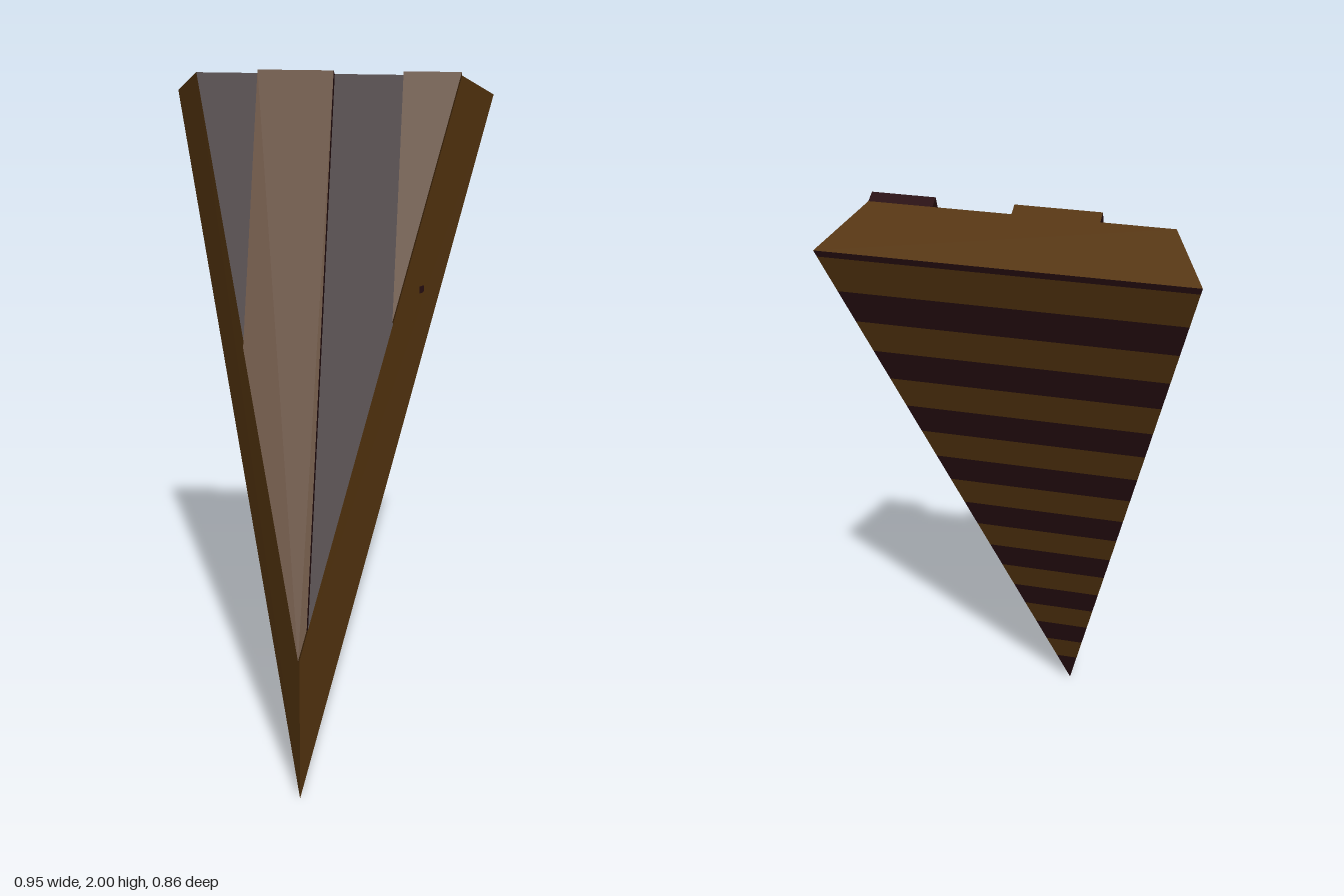
import * as THREE from 'three';

const light = new THREE.MeshStandardMaterial({ color: 0x54340f, flatShading: true });
light.name = 'brown wood';
const dark = new THREE.MeshStandardMaterial({ color: 0x270e11, flatShading: true });
dark.name = 'dark wood';

// One flat-shaded mesh from convex polygons, corners anticlockwise seen from outside
function polyMesh(name, material, polygons) {
  const pos = [];
  for (const p of polygons)
    for (let i = 1; i < p.length - 1; i++) pos.push(...p[0], ...p[i], ...p[i + 1]);
  const geo = new THREE.BufferGeometry();
  geo.setAttribute('position', new THREE.Float32BufferAttribute(pos, 3));
  geo.computeVertexNormals();
  const mesh = new THREE.Mesh(geo, material);
  mesh.name = name;
  return mesh;
}

// Raised plank: anticlockwise outline, with the listed edges in dark wood
function plank(name, outline, darkEdges, depth) {
  const lit = [outline.map(([x, y]) => [x, y, depth])];
  const shaded = [];
  outline.forEach(([x, y], i) => {
    const [u, v] = outline[(i + 1) % outline.length];
    (darkEdges.includes(i) ? shaded : lit).push([[x, y, 0], [u, v, 0], [u, v, depth], [x, y, depth]]);
  });
  const group = new THREE.Group();
  group.name = name;
  group.add(polyMesh(name + 'Face', light, lit), polyMesh(name + 'Walls', dark, shaded));
  return group;
}

export function createModel() {
  const model = new THREE.Group();
  model.name = 'wedge';

  // The slab is built upright, then leaned back
  const slab = new THREE.Group();
  slab.name = 'leaningSlab';
  slab.position.set(0, 0.448, 0.396);
  slab.rotation.x = -0.406;
  model.add(slab);

  const top = 1.677, tip = -0.411, back = -0.178, halfFront = 0.385, halfBack = 0.475;
  const apex = [0, 0, 0], point = [0, tip, back];
  const fl = [halfFront, top, 0], fr = [-halfFront, top, 0];
  const bl = [halfBack, top, back], br = [-halfBack, top, back];

  // Sides and top of the slab, and its recessed front
  slab.add(polyMesh('sidesAndTop', light, [
    [apex, point, bl, fl],
    [point, apex, fr, br],
    [fr, fl, bl, br],
  ]));
  slab.add(polyMesh('recessedFront', dark, [[apex, fl, fr]]));

  // Raised planks on the front
  const edge = x => Math.abs(x) * top / halfFront;
  slab.add(plank('centrePlank',
    [[0, 0], [0.02, edge(0.02)], [0.02, top], [-0.2, top], [-0.2, edge(0.2)]], [1, 3], 0.033));
  slab.add(plank('leftPlank',
    [[0.22, edge(0.22)], [halfFront, top], [0.22, top]], [1, 2], 0.033));

  // Striped back, as bands from the top edge (0) to the tip (1)
  const cuts = [0, 0.01];
  for (let i = 0; i < 9; i++) cuts.push(0.068 + 0.1075 * i, 0.121 + 0.1075 * i);
  cuts[cuts.length - 1] = 1;
  const bands = [[], []];
  for (let i = 0; i < cuts.length - 1; i++) {
    const [a, b] = [cuts[i], cuts[i + 1]];
    const ya = top + (tip - top) * a, yb = top + (tip - top) * b;
    const wa = halfBack * (1 - a), wb = halfBack * (1 - b);
    bands[i % 2].push([[-wa, ya, back], [wa, ya, back], [wb, yb, back], [-wb, yb, back]]);
  }
  slab.add(polyMesh('darkBackBands', dark, bands[0]), polyMesh('lightBackBands', light, bands[1]));

  // Small knot in the wood of the left side
  const knot = new THREE.Mesh(new THREE.BoxGeometry(0.004, 0.02, 0.02), dark);
  knot.name = 'knot';
  knot.position.set(0.291, 1.4, -0.11);
  knot.rotation.y = -0.522;
  model.add(knot);

  return model;
}
